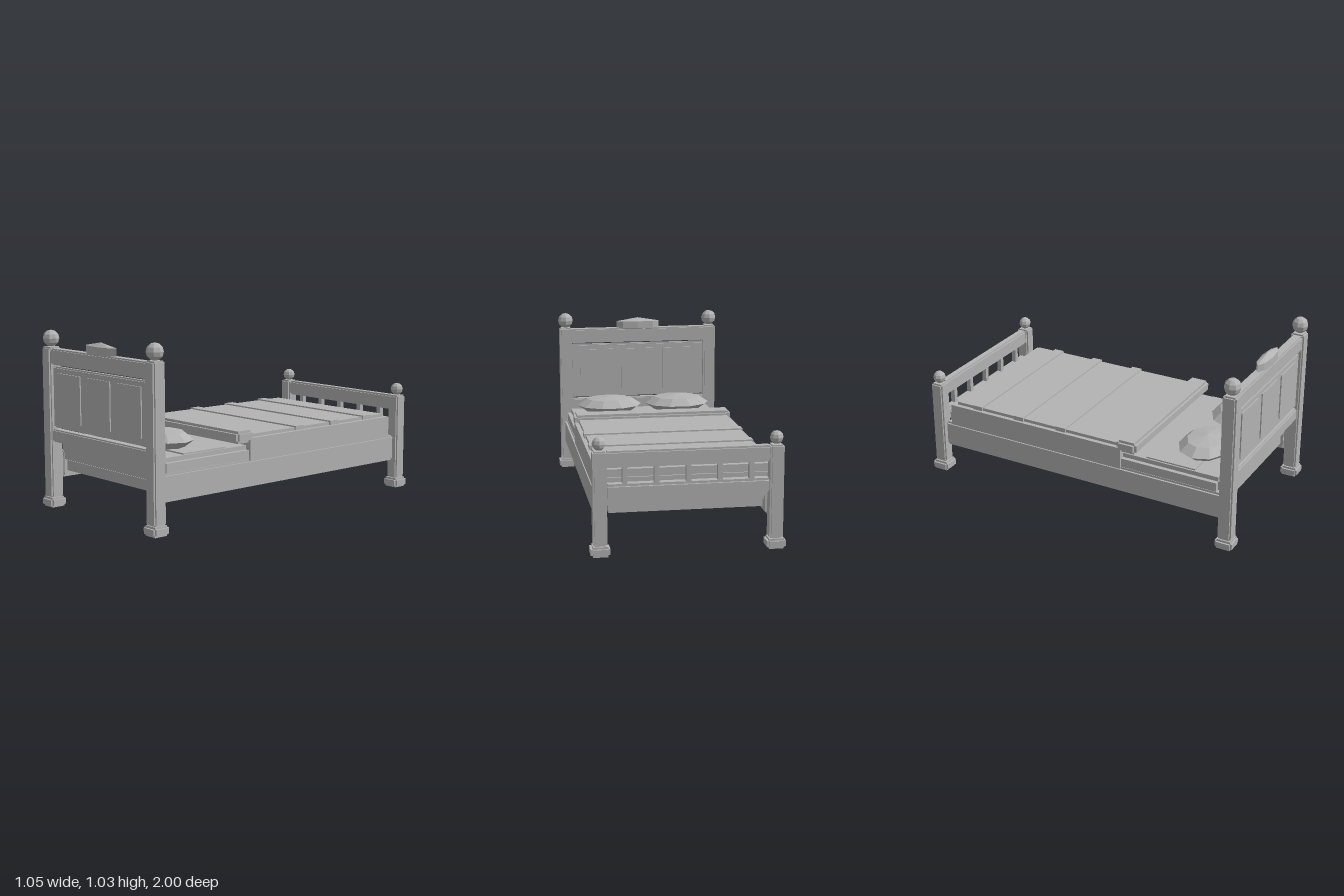
import * as THREE from 'three';

export function createModel() {
  const bed = new THREE.Group();
  bed.name = 'bed';
  const grey = new THREE.MeshStandardMaterial({ color: 0xb3b3b3, flatShading: true });
  grey.name = 'plain grey';

  const add = (name, geometry, parent = bed) => {
    const mesh = new THREE.Mesh(geometry, grey);
    mesh.name = name;
    parent.add(mesh);
    return mesh;
  };

  // Box given by its limits
  const box = (name, x0, x1, y0, y1, z0, z1, parent = bed) => {
    const m = add(name, new THREE.BoxGeometry(x1 - x0, y1 - y0, z1 - z0), parent);
    m.position.set((x0 + x1) / 2, (y0 + y1) / 2, (z0 + z1) / 2);
    return m;
  };

  // Box with stepped edges: three crossing boxes, each full length on one axis
  const stepped = (name, x0, x1, y0, y1, z0, z1, b) => {
    const g = new THREE.Group();
    g.name = name;
    bed.add(g);
    box(name + 'Wide', x0, x1, y0 + b, y1 - b, z0 + b, z1 - b, g);
    box(name + 'Tall', x0 + b, x1 - b, y0, y1, z0 + b, z1 - b, g);
    box(name + 'Deep', x0 + b, x1 - b, y0 + b, y1 - b, z0, z1, g);
    return g;
  };

  // Low-poly ellipsoid
  const blob = (name, x, y, z, rx, ry, rz, sides, rings) => {
    const m = add(name, new THREE.SphereGeometry(1, sides, rings).scale(rx, ry, rz));
    m.position.set(x, y, z);
    return m;
  };

  // Posts with feet and ball finials
  const post = (name, x, z, half, top, ball) => {
    stepped(name + 'Foot', x - 0.0525, x + 0.0525, 0, 0.057, z - 0.0525, z + 0.0525, 0.012);
    stepped(name, x - half, x + half, 0.055, top, z - half, z + half, 0.009);
    blob(name + 'Finial', x, top + ball * 0.98, z, ball, ball, ball, 8, 6);
  };

  for (const s of [-1, 1]) {
    const side = s > 0 ? 'left' : 'right';
    post(side + 'HeadPost', s * 0.475, 0.9475, 0.04, 0.93, 0.048);
    post(side + 'FootPost', s * 0.475, -0.9475, 0.038, 0.572, 0.037);
    stepped(side + 'SideRail', s * 0.46 - 0.03, s * 0.46 + 0.03, 0.17, 0.325, -0.91, 0.915, 0.012);
    blob(side + 'Pillow', s * 0.22, 0.462, 0.7, 0.205, 0.058, 0.155, 10, 4);
  }

  // Headboard: rails, panel and raised fields on both faces
  stepped('headTopRail', -0.445, 0.445, 0.83, 0.922, 0.916, 0.978, 0.008);
  stepped('headLowerRail', -0.445, 0.445, 0.385, 0.458, 0.92, 0.975, 0.008);
  stepped('headPanel', -0.44, 0.44, 0.468, 0.82, 0.93, 0.965, 0.008);
  for (const x of [-0.275, 0, 0.275]) {
    box('raisedField', x - 0.109, x + 0.109, 0.51, 0.785, 0.923, 0.972);
  }
  blob('headCrest', 0, 0.941, 0.944, 0.162, 0.047, 0.038, 8, 3);

  // Footboard: two rails and five spindles
  stepped('footTopRail', -0.445, 0.445, 0.48, 0.57, -0.975, -0.92, 0.01);
  stepped('footLowerRail', -0.445, 0.445, 0.31, 0.39, -0.975, -0.92, 0.013);
  for (let i = -2; i <= 2; i++) {
    box('spindle', i * 0.17 - 0.014, i * 0.17 + 0.014, 0.38, 0.49, -0.961, -0.933);
  }

  // Base and mattress
  box('base', -0.42, 0.42, 0.21, 0.27, -0.88, 0.89);
  stepped('mattress', -0.475, 0.475, 0.25, 0.402, -0.9, 0.9, 0.025);
  box('sheet', -0.44, 0.44, 0.4, 0.41, 0.43, 0.73);

  // Blanket with cross seams and a folded edge
  box('blanketSides', -0.485, 0.485, 0.315, 0.445, -0.865, 0.285);
  box('blanketTop', -0.46, 0.46, 0.44, 0.463, -0.835, 0.285);
  for (const z of [-0.685, -0.4, -0.115]) {
    box('blanketSeam', -0.47, 0.47, 0.446, 0.471, z - 0.032, z + 0.032);
  }
  stepped('blanketFold', -0.485, 0.485, 0.42, 0.49, 0.255, 0.38, 0.015);

  return bed;
}
